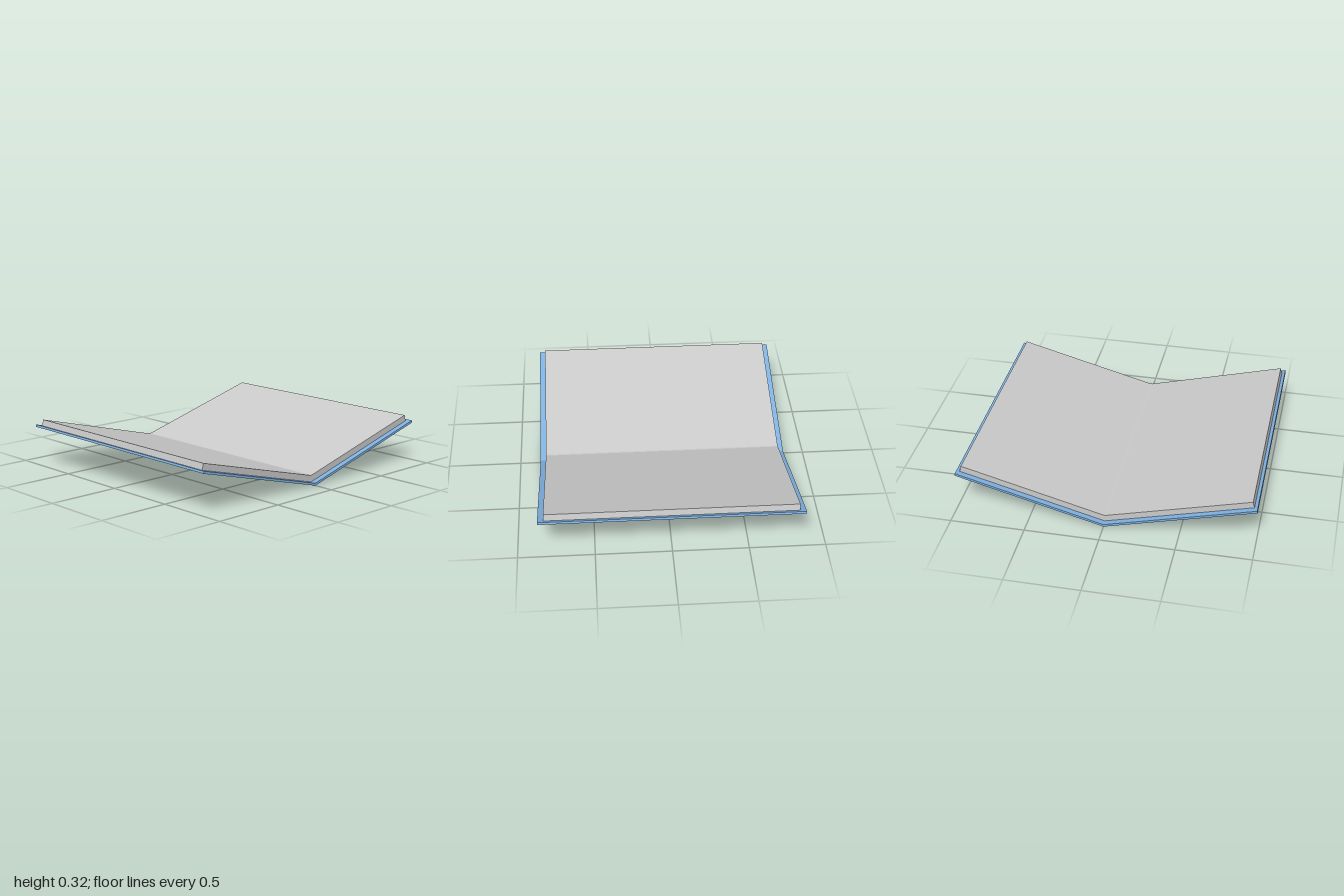
import * as THREE from 'three';

// Extrude a symmetric V-shaped profile along x; points [z, y] describe the +z half.
function vSlab(name, half, width, color) {
  const mirrored = half.map(([z, y]) => [-z, y]).reverse().filter(([z]) => z !== 0);
  const shape = new THREE.Shape([...half, ...mirrored].map(([z, y]) => new THREE.Vector2(z, y)));
  const geometry = new THREE.ExtrudeGeometry(shape, { depth: width, bevelEnabled: false });
  geometry.translate(0, 0, -width / 2).rotateY(Math.PI / 2);
  const mesh = new THREE.Mesh(geometry, new THREE.MeshStandardMaterial({ color, flatShading: true }));
  mesh.name = name;
  return mesh;
}

export function createModel() {
  const group = new THREE.Group();
  group.name = 'openBook';
  const slope = Math.tan(THREE.MathUtils.degToRad(15));
  const at = (z, lift) => [z, lift + z * slope];

  // Thin cover, folded at the spine
  group.add(vSlab('cover', [at(0, 0), at(1, 0), at(0.996, 0.0166)].concat([[0, 0.0166]]), 1.72, 0x80b2e2));

  // Page block, with a narrow flat gutter along the fold
  group.add(vSlab('pages', [at(0, 0.0166), at(0.975, 0.0166), at(0.964, 0.0615), at(0.006, 0.0615)], 1.64, 0xcccccc));
  return group;
}
